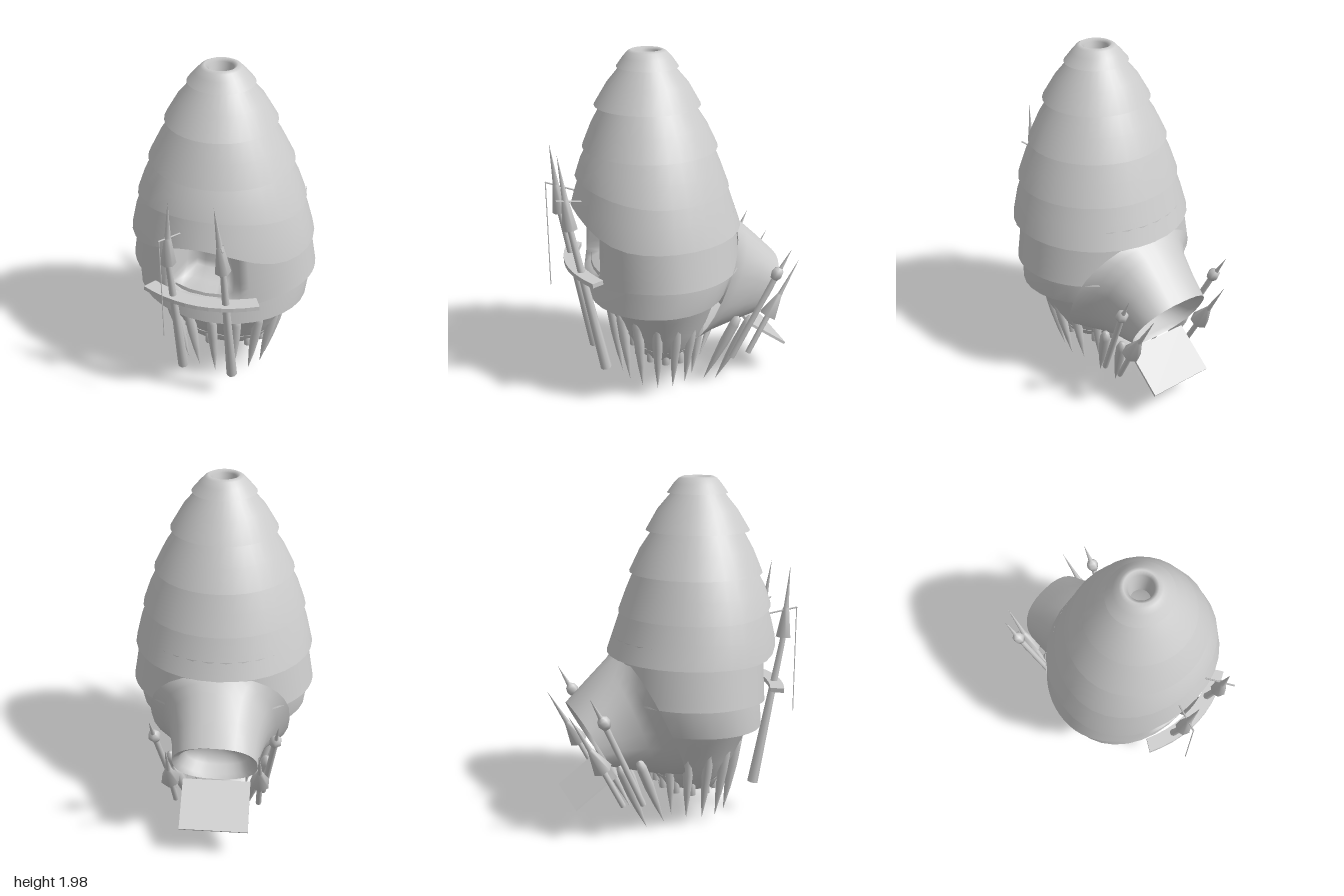
import * as THREE from 'three';

const plaster = new THREE.MeshStandardMaterial({ color: 0xcccccc, side: THREE.DoubleSide });
plaster.name = 'pale grey';

const V = (x, y, z) => new THREE.Vector3(x, y, z);

function add(group, name, geometry) {
  const mesh = new THREE.Mesh(geometry, plaster);
  mesh.name = name;
  group.add(mesh);
  return mesh;
}

// Smooth skin over closed rings of points
function loft(rings) {
  const n = rings[0].length, pos = [], idx = [];
  rings.forEach(ring => ring.forEach(p => pos.push(p.x, p.y, p.z)));
  for (let r = 0; r < rings.length - 1; r++) {
    for (let i = 0; i < n; i++) {
      const a = r * n + i, b = r * n + (i + 1) % n;
      idx.push(a, a + n, b, b, a + n, b + n);
    }
  }
  const g = new THREE.BufferGeometry();
  g.setAttribute('position', new THREE.Float32BufferAttribute(pos, 3));
  g.setIndex(idx);
  g.computeVertexNormals();
  return g;
}

// Oval ring: half width, front z, back z; front edge may be lifted
function oval(y, rx, zf, zb, lift = 0, power = 2, n = 32) {
  const cz = Math.min(0.145, (zf + zb) / 2 + 0.03);
  return Array.from({ length: n }, (_, i) => {
    const a = i / n * Math.PI * 2, c = Math.cos(a);
    return V(rx * Math.sin(a), y + lift * Math.pow(Math.max(0, c), power),
      cz + c * (c > 0 ? zf - cz : cz - zb));
  });
}

// Turned rod between two points; profile is [radius, fraction along]
function rod(group, name, from, to, profile, sides = 8) {
  const dir = to.clone().sub(from), len = dir.length();
  const pts = profile.map(([r, t]) => new THREE.Vector2(r, t * len));
  const mesh = add(group, name, new THREE.LatheGeometry(pts, sides));
  mesh.position.copy(from);
  mesh.quaternion.setFromUnitVectors(V(0, 1, 0), dir.normalize());
}
const straight = r => [[0, 0], [r, 0], [r, 1], [0, 1]];
const THORN = [[0, 0], [0.022, 0.03], [0.03, 0.12], [0.029, 0.4], [0.018, 0.7], [0, 1]];

// Arch section of the rear porch, leaning from its foot to its crown
function arch([hw, yt, zt, yb, zb]) {
  const n = 28;
  return Array.from({ length: n }, (_, i) => {
    const a = i / n * Math.PI * 2, s = Math.sin(a), c = Math.cos(a);
    const t = 0.5 + 0.5 * Math.sign(c) * Math.pow(Math.abs(c), 0.85);
    return V(hw * Math.sign(s) * Math.pow(Math.abs(s), 0.85), yb + (yt - yb) * t, zb + (zt - zb) * t);
  });
}

export function createModel() {
  const model = new THREE.Group();
  model.name = 'shellHut';

  // Overlapping roof tiers: rows of [y, half width, front z, back z, front lift, lift power]
  const tiers = [
    [[1.85, 0.05, 0.195, 0.095], [1.985, 0.065, 0.21, 0.08], [2, 0.085, 0.23, 0.06],
      [1.99, 0.105, 0.25, 0.04], [1.96, 0.135, 0.275, 0.01], [1.91, 0.178, 0.31, -0.025]],
    [[1.925, 0.14, 0.28, 0.01], [1.82, 0.23, 0.365, -0.08], [1.705, 0.298, 0.435, -0.145]],
    [[1.72, 0.25, 0.39, -0.1], [1.6, 0.33, 0.455, -0.18], [1.475, 0.393, 0.505, -0.24]],
    [[1.49, 0.36, 0.47, -0.21], [1.37, 0.42, 0.52, -0.26, 0.03], [1.25, 0.463, 0.55, -0.305, 0.06]],
    [[1.3, 0.425, 0.52, -0.28, 0.03], [1.15, 0.48, 0.555, -0.33, 0.08, 4], [1.02, 0.512, 0.578, -0.375, 0.13, 5]],
  ];
  tiers.forEach((rows, i) => add(model, 'roofTier' + (i + 1), loft(rows.map(r => oval(...r)))));

  // Wall tier with a rounded niche pressed into its front
  const wall = [];
  for (let k = 0; k <= 10; k++) {
    const t = k / 10;
    const ring = oval(1.12 - 0.32 * t, 0.47 + 0.055 * t, 0.5 + 0.01 * t, -0.34 - 0.03 * t, -0.07 * t, 3, 64);
    for (const p of ring) {
      if (p.z < 0.2) continue;
      const across = 1 - THREE.MathUtils.smoothstep(Math.abs(p.x + 0.015), 0.1, 0.2);
      const up = THREE.MathUtils.smoothstep(p.y, 0.74, 0.86);
      p.z -= 0.2 * across * up;
    }
    wall.push(ring);
  }
  add(model, 'nicheWall', loft(wall));
  add(model, 'skirtTier', loft([
    oval(0.86, 0.49, 0.47, -0.33, -0.07, 3), oval(0.75, 0.497, 0.485, -0.33, -0.05, 3),
    oval(0.635, 0.484, 0.495, -0.29, -0.03, 2)]));

  // Bowl under the hut
  add(model, 'bowl', loft([
    oval(0.66, 0.45, 0.45, -0.26), oval(0.61, 0.435, 0.44, -0.25), oval(0.56, 0.4, 0.4, -0.23),
    oval(0.44, 0.35, 0.345, -0.19), oval(0.33, 0.285, 0.275, -0.14), oval(0.305, 0.265, 0.25, -0.12)]));
  add(model, 'bowlBase', loft([
    oval(0.31, 0.275, 0.26, -0.13), oval(0.25, 0.235, 0.235, -0.09),
    oval(0.235, 0.2, 0.2, -0.06), oval(0.235, 0.001, 0.071, 0.069)]));

  // Rear porch: outer shell, then hollow mouth
  add(model, 'porch', loft([
    [0.4, 1.03, -0.33, 0.3, 0.0], [0.325, 1.005, -0.36, 0.3, -0.08], [0.28, 0.965, -0.41, 0.32, -0.16],
    [0.25, 0.87, -0.51, 0.36, -0.3], [0.235, 0.76, -0.62, 0.4, -0.42]].map(arch)));
  add(model, 'porchMouth', loft([
    [0.235, 0.76, -0.62, 0.4, -0.42], [0.205, 0.73, -0.58, 0.42, -0.4], [0.18, 0.7, -0.46, 0.43, -0.32],
    [0.14, 0.64, -0.36, 0.46, -0.28], [0.001, 0.55, -0.3, 0.55, -0.3]].map(arch)));

  // Entrance ramp
  const ramp = add(model, 'ramp', new THREE.BoxGeometry(0.385, 0.015, 0.29));
  ramp.position.set(0, 0.3, -0.53);
  ramp.rotation.x = -0.62;

  // Thorns hanging around the bowl
  const count = 15;
  for (let i = 0; i < count; i++) {
    const a = i / count * Math.PI * 2, s = Math.sin(a), c = Math.cos(a);
    if (c < -0.85) continue;
    rod(model, 'thorn', V(0.355 * s, 0.56, 0.11 + 0.27 * c), V(0.25 * s, 0.075, 0.1 + 0.21 * c), THORN);
  }

  // Short pegs under the base
  for (let i = 0; i < 12; i++) {
    const a = (i + 0.5) / 12 * Math.PI * 2;
    const x = 0.235 * Math.sin(a), z = 0.07 + 0.165 * Math.cos(a);
    rod(model, 'peg', V(x, 0.22, z), V(x, 0.31, z), straight(0.022));
  }

  for (const s of [-1, 1]) {
    // Thorns and spears flanking the porch
    rod(model, 'porchThorn', V(0.28 * s, 0.49, -0.31), V(0.19 * s, 0.06, -0.13), THORN);
    rod(model, 'porchThorn', V(0.24 * s, 0.46, -0.41), V(0.145 * s, 0.02, -0.22), THORN);
    rod(model, 'outerSpearShaft', V(0.262 * s, 0.22, -0.28), V(0.325 * s, 0.73, -0.51), straight(0.017));
    rod(model, 'outerSpearKnob', V(0.322 * s, 0.72, -0.5), V(0.332 * s, 0.785, -0.535),
      [[0, 0], [0.024, 0], [0.036, 0.4], [0.03, 0.8], [0.012, 1]], 6);
    rod(model, 'outerSpearTip', V(0.33 * s, 0.77, -0.53), V(0.34 * s, 0.895, -0.595), [[0.014, 0], [0, 1]], 6);
    rod(model, 'innerSpearShaft', V(0.24 * s, 0.22, -0.39), V(0.25 * s, 0.48, -0.52), straight(0.016));
    rod(model, 'innerSpearHead', V(0.25 * s, 0.455, -0.505), V(0.25 * s, 0.58, -0.575),
      [[0, 0], [0.055, 0], [0.015, 1]], 6);
    rod(model, 'innerSpearTip', V(0.25 * s, 0.56, -0.565), V(0.245 * s, 0.785, -0.69), [[0.016, 0], [0, 1]], 6);

    // Tall front poles with conical heads and cross prongs
    const x = s < 0 ? -0.155 : 0.14;
    rod(model, 'polePost', V(x, 0.21, 0.445), V(x, 1.1, 0.625),
      [[0, 0], [0.032, 0], [0.022, 0.6], [0.016, 1]]);
    rod(model, 'poleHead', V(x, 1.08, 0.622), V(x + 0.01 * -s, 1.25, 0.64), [[0, 0], [0.044, 0], [0.018, 1]], 7);
    rod(model, 'poleTip', V(x + 0.01 * -s, 1.23, 0.638), V(x - 0.03 * s, 1.49, 0.67), [[0.018, 0], [0, 1]], 6);
    rod(model, 'poleProng', V(x - 0.045 * s, 1.215, 0.54), V(x + 0.02 * s, 1.255, 0.695), straight(0.005), 5);
  }

  // Cord hanging from one prong
  rod(model, 'cord', V(-0.17, 0.63, 0.692), V(-0.172, 1.255, 0.693), straight(0.003), 4);

  // Curved balcony ledge
  const ledge = new THREE.Shape();
  ledge.moveTo(-0.33, 0.545);
  ledge.quadraticCurveTo(0, 0.715, 0.32, 0.545);
  ledge.lineTo(0.285, 0.48);
  ledge.quadraticCurveTo(0, 0.62, -0.285, 0.48);
  const plate = add(model, 'balconyLedge',
    new THREE.ExtrudeGeometry(ledge, { depth: 0.025, bevelEnabled: false, curveSegments: 10 }));
  plate.rotation.x = Math.PI / 2;
  plate.position.y = 0.825;

  return model;
}
